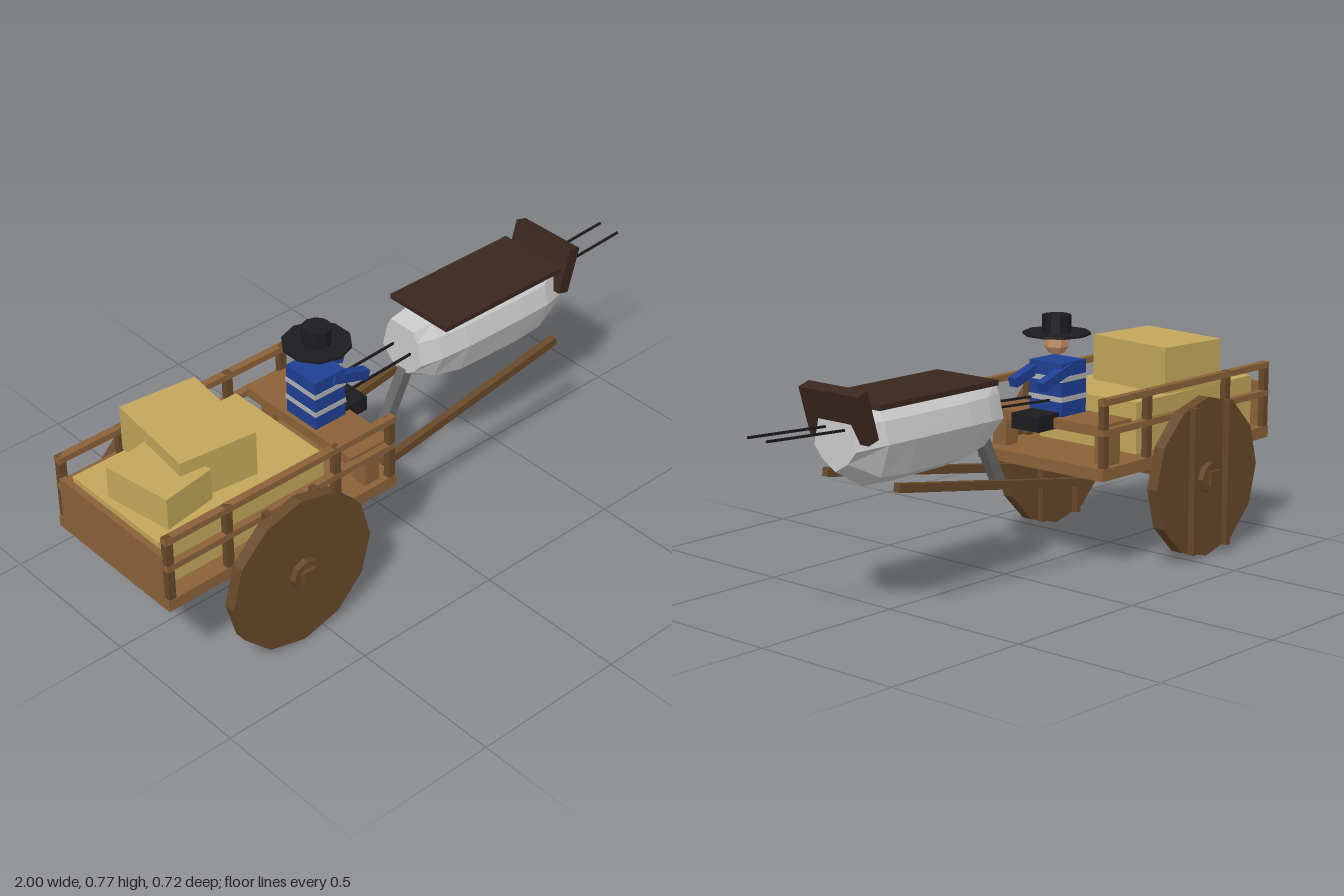
import * as THREE from 'three';

const mat = (color) => new THREE.MeshStandardMaterial({ color, flatShading: true });

export function createModel() {
  const model = new THREE.Group();
  const wood = mat(0x8b6239), darkWood = mat(0x674829), leather = mat(0x3a271e);
  const straw = mat(0xc2a75a), grey = mat(0xcccccc), tailGrey = mat(0x666666);
  const blue = mat(0x1f3f94), black = mat(0x1c1c1f), skin = mat(0xc8946a), stripe = mat(0xb0b0b0);

  const add = (name, geometry, material, x, y, z) => {
    const mesh = new THREE.Mesh(geometry, material);
    mesh.name = name;
    mesh.position.set(x, y, z);
    model.add(mesh);
    return mesh;
  };
  // box given by its limits on each axis
  const box = (name, m, x0, x1, y0, y1, z0, z1) =>
    add(name, new THREE.BoxGeometry(x1 - x0, y1 - y0, z1 - z0), m, (x0 + x1) / 2, (y0 + y1) / 2, (z0 + z1) / 2);
  // bar running between two points of the xy plane
  const bar = (name, m, x0, y0, x1, y1, z, thick, width) => {
    const b = add(name, new THREE.BoxGeometry(Math.hypot(x1 - x0, y1 - y0), thick, width), m, (x0 + x1) / 2, (y0 + y1) / 2, z);
    b.rotation.z = Math.atan2(y1 - y0, x1 - x0);
    return b;
  };

  // cart bed, tailboard and bench
  box('cartBed', wood, -1, -0.155, 0.302, 0.34, -0.255, 0.255);
  box('tailboard', wood, -1, -0.98, 0.34, 0.485, -0.235, 0.235);
  box('bench', wood, -0.315, -0.16, 0.438, 0.47, -0.235, 0.235);
  for (const s of [-1, 1]) {
    box('benchLeg', wood, -0.26, -0.205, 0.34, 0.438, s * 0.2075 - 0.0275, s * 0.2075 + 0.0275);
    // side fence
    for (const x of [-0.985, -0.778, -0.38, -0.172])
      box('fencePost', darkWood, x - 0.012, x + 0.012, 0.34, 0.553, s * 0.243 - 0.011, s * 0.243 + 0.011);
    for (const y of [0.45, 0.543])
      box('fenceRail', wood, -0.998, -0.158, y - 0.01, y + 0.01, s * 0.243 - 0.012, s * 0.243 + 0.012);
    // shafts
    bar('shaft', darkWood, -0.203, 0.277, 0.612, 0.407, s * 0.144, 0.026, 0.024);
    // reins
    bar('rein', black, -0.16, 0.524, 1, 0.588, s * 0.038, 0.007, 0.006);
  }

  // wheels: plank discs with two battens on the same side of each
  box('axle', darkWood, -0.602, -0.558, 0.233, 0.278, -0.36, 0.36);
  for (const s of [-1, 1]) {
    const z = s * 0.31;
    const disc = new THREE.CylinderGeometry(0.255, 0.255, 0.038, 12).rotateX(Math.PI / 2);
    add('wheel', disc, darkWood, -0.58, 0.255, z);
    const hub = new THREE.CylinderGeometry(0.05, 0.05, 0.08, 8).rotateX(Math.PI / 2);
    add('hub', hub, darkWood, -0.58, 0.255, s * 0.309);
    for (const dx of [-0.086, 0.086])
      box('wheelBatten', darkWood, -0.59 + dx, -0.57 + dx, 0.022, 0.489, z - 0.041, z - 0.015);
  }

  // load
  box('lowerLoad', straw, -0.98, -0.385, 0.34, 0.503, -0.197, 0.197);
  box('largeBale', straw, -0.815, -0.565, 0.5, 0.65, -0.195, 0.13).rotation.y = -0.115;
  box('smallBale', straw, -0.944, -0.766, 0.5, 0.607, -0.07, 0.16).rotation.y = 0.15;

  // driver
  box('torso', blue, -0.3, -0.185, 0.47, 0.635, -0.065, 0.065);
  for (const y of [0.523, 0.585])
    box('shirtStripe', stripe, -0.302, -0.183, y - 0.008, y + 0.008, -0.067, 0.067);
  box('legs', black, -0.2, -0.09, 0.435, 0.483, -0.055, 0.055);
  for (const s of [-1, 1]) bar('arm', blue, -0.23, 0.618, -0.097, 0.575, s * 0.056, 0.03, 0.032);
  add('head', new THREE.SphereGeometry(0.041, 6, 5), skin, -0.236, 0.69, 0);
  add('hatBrim', new THREE.CylinderGeometry(0.105, 0.105, 0.008, 10), black, -0.236, 0.718, 0);
  add('hatCrown', new THREE.CylinderGeometry(0.045, 0.045, 0.056, 10), black, -0.236, 0.747, 0);

  // faceted body, lofted along x; half sections run from keel to top as [z, y]
  const end = [[0, 0.447], [0.05, 0.476], [0.084, 0.515], [0.066, 0.59], [0.05, 0.622]];
  const mid = [[0, 0.382], [0.084, 0.42], [0.117, 0.525], [0.1, 0.59], [0.06, 0.634]];
  const blend = (t) => end.map(([z, y], i) => [z + (mid[i][0] - z) * t, y + (mid[i][1] - y) * t]);
  const rings = [[0.1, 0], [0.17, 0.6], [0.27, 0.92], [0.5, 1], [0.61, 0.9], [0.71, 0]].map(([x, t]) => {
    const half = blend(t);
    const mirrored = half.slice(1).reverse().map(([z, y]) => [-z, y]);
    return [...half, ...mirrored].map(([z, y]) => [x, y, z]);
  });
  const pos = [];
  const n = rings[0].length;
  for (let r = 0; r + 1 < rings.length; r++)
    for (let i = 0; i < n; i++) {
      const j = (i + 1) % n;
      const [a, b, c, d] = [rings[r][i], rings[r][j], rings[r + 1][j], rings[r + 1][i]];
      pos.push(...a, ...b, ...c, ...a, ...c, ...d);
    }
  const [back, front] = [rings[0], rings[rings.length - 1]];
  for (let i = 1; i + 1 < n; i++) {
    pos.push(...back[0], ...back[i + 1], ...back[i]);
    pos.push(...front[0], ...front[i], ...front[i + 1]);
  }
  const body = new THREE.BufferGeometry();
  body.setAttribute('position', new THREE.Float32BufferAttribute(pos, 3));
  body.computeVertexNormals();
  const bodyMat = mat(0xcccccc);
  bodyMat.side = THREE.DoubleSide;
  add('animalBody', body, bodyMat, 0, 0, 0);
  bar('tail', tailGrey, 0.125, 0.48, 0.03, 0.293, 0, 0.034, 0.034);

  // harness
  box('saddleBoard', leather, 0.165, 0.655, 0.63, 0.646, -0.123, 0.123);
  bar('collar', leather, 0.673, 0.541, 0.716, 0.686, 0, 0.042, 0.234);
  return model;
}
